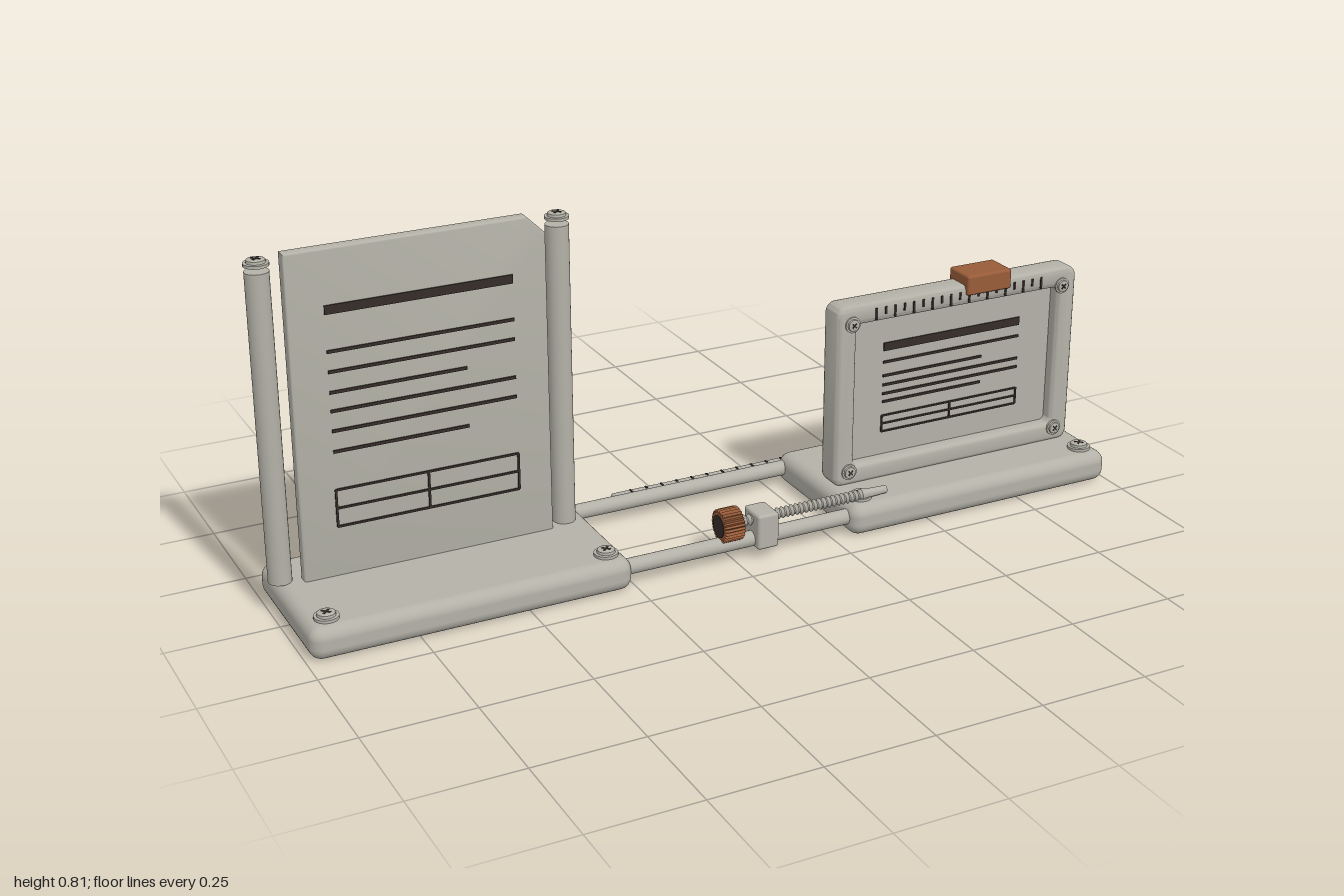
import * as THREE from 'three';
import { RoundedBoxGeometry } from 'three/addons/geometries/RoundedBoxGeometry.js';
import { toCreasedNormals } from 'three/addons/utils/BufferGeometryUtils.js';

const mat = (name, color) => Object.assign(new THREE.MeshStandardMaterial({ color }), { name });

export function createModel() {
  const grey = mat('warm grey', 0xb3b1a7);
  const dark = mat('dark ink', 0x352c29);
  const brown = mat('copper brown', 0x995c39);
  const root = new THREE.Group();
  root.name = 'displayStand';

  const add = (name, geo, material, x = 0, y = 0, z = 0, parent = root) => {
    const m = new THREE.Mesh(geo, material);
    m.name = name;
    m.position.set(x, y, z);
    parent.add(m);
    return m;
  };
  // box given by its limits on each axis; r rounds the edges
  const box = (name, material, x0, x1, y0, y1, z0, z1, r = 0, parent = root) => {
    const s = [x1 - x0, y1 - y0, z1 - z0];
    const g = r ? new RoundedBoxGeometry(...s, 4, r) : new THREE.BoxGeometry(...s);
    return add(name, g, material, (x0 + x1) / 2, (y0 + y1) / 2, (z0 + z1) / 2, parent);
  };
  // extrusion with its bevel kept inside the outline, starting at z0
  const extrude = (shape, z0, depth, bevel) => {
    const g = new THREE.ExtrudeGeometry(shape, {
      depth: depth - 2 * bevel, bevelThickness: bevel, bevelSize: bevel,
      bevelOffset: -bevel, bevelSegments: 3, curveSegments: 8,
    });
    g.translate(0, 0, z0 + bevel);
    return toCreasedNormals(g, 0.6);
  };
  const roundRect = (path, x0, x1, y0, y1, r) => {
    path.moveTo(x0 + r, y0);
    path.lineTo(x1 - r, y0);
    path.absarc(x1 - r, y0 + r, r, -Math.PI / 2, 0);
    path.absarc(x1 - r, y1 - r, r, 0, Math.PI / 2);
    path.absarc(x0 + r, y1 - r, r, Math.PI / 2, Math.PI);
    path.absarc(x0 + r, y0 + r, r, Math.PI, Math.PI * 1.5);
    return path;
  };
  // stepped screw head with a cross recess, axis +y
  const screw = (name, x, y, z, r) => {
    const g = new THREE.Group();
    g.name = name;
    g.position.set(x, y, z);
    root.add(g);
    const profile = [[0, 0], [1, 0], [1, 0.24], [0.76, 0.26], [0.72, 0.48], [0.6, 0.54], [0, 0.54]]
      .map(([a, b]) => new THREE.Vector2(a * r, b * r));
    add('screwHead', toCreasedNormals(new THREE.LatheGeometry(profile, 24), 0.5), grey, 0, 0, 0, g);
    for (let i = 0; i < 2; i++)
      add('screwSlot', new THREE.BoxGeometry(r * 0.8, 0.002, r * 0.18), dark, 0, r * 0.54, 0, g)
        .rotation.y = i * Math.PI / 2 + 0.78;
    return g;
  };
  // heading, text rows and a small table drawn as thin strips
  const printing = (name, x0, x1, xs, z, head, rows, table, t) => {
    const g = new THREE.Group();
    g.name = name;
    root.add(g);
    const bar = (n, a, b, y, h) => box(n, dark, a, b, y - h / 2, y + h / 2, z - 0.002, z + 0.003, 0, g);
    bar('headingBar', x0, x1, head, 0.02);
    rows.forEach(([y, short]) => bar('textLine', x0, short ? xs : x1, y, t));
    const [y0, y1] = table;
    [y0, (y0 + y1) / 2, y1].forEach(y => bar('tableLine', x0, x1, y, t * 0.7));
    [x0, (x0 + x1) / 2, x1].forEach(x => bar('tableDivider', x - t * 0.35, x + t * 0.35, (y0 + y1) / 2, y1 - y0));
  };

  // bases with their screws
  box('leftBase', grey, -0.99, -0.26, 0, 0.075, -0.175, 0.192, 0.028);
  box('rightBase', grey, 0.29, 0.995, 0, 0.075, -0.175, 0.192, 0.028);
  for (const x of [-0.94, -0.305, 0.337, 0.947]) screw('baseScrew', x, 0.075, 0.14, 0.027);

  // tall sheet with a clipped corner
  const sheet = new THREE.Shape([[-0.93, 0.06], [-0.355, 0.06], [-0.355, 0.77], [-0.398, 0.812], [-0.93, 0.812]]
    .map(p => new THREE.Vector2(...p)));
  add('tallPanel', extrude(sheet, -0.06, 0.03, 0.005), grey);
  printing('tallPanelPrint', -0.85, -0.434, -0.545, -0.03, 0.68,
    [[0.588], [0.543], [0.497, 1], [0.455], [0.41], [0.363, 1]], [0.19, 0.275], 0.007);

  // side posts with raised caps
  for (const x of [-0.975, -0.315]) {
    add('post', new THREE.CylinderGeometry(0.026, 0.026, 0.7, 32), grey, x, 0.425, -0.063);
    screw('postCap', x, 0.787, -0.063, 0.027);
  }

  // small framed display
  const frame = roundRect(new THREE.Shape(), 0.31, 0.962, 0.07, 0.515, 0.025);
  frame.holes.push(roundRect(new THREE.Path(), 0.362, 0.91, 0.12, 0.467, 0.012));
  add('displayFrame', extrude(frame, 0.003, 0.066, 0.012), grey);
  box('displayPlate', grey, 0.355, 0.917, 0.113, 0.474, 0.016, 0.04);
  printing('displayPrint', 0.45, 0.823, 0.72, 0.04, 0.39,
    [[0.352], [0.318, 1], [0.295], [0.273], [0.253, 1]], [0.178, 0.218], 0.006);
  for (const x of [0.348, 0.92]) for (const y of [0.107, 0.472])
    screw('frameScrew', x, y, 0.068, 0.019).rotation.x = Math.PI / 2;

  // scale on the frame and its sliding marker
  for (let i = 0; i < 19; i++) {
    const x = 0.41 + i * 0.025, h = i % 2 ? 0.018 : 0.028;
    box('frameTick', dark, x - 0.0025, x + 0.0025, 0.502 - h, 0.502, 0.064, 0.0715);
  }
  box('slidingMarker', brown, 0.65, 0.77, 0.492, 0.54, -0.003, 0.078, 0.006);

  // guide rods between the bases
  for (const z of [-0.146, 0.155]) {
    const rod = add('guideRod', new THREE.CylinderGeometry(0.018, 0.018, 0.62, 24), grey, 0.015, 0.042, z);
    rod.rotation.z = Math.PI / 2;
  }

  // ruler beside the back rod
  box('ruler', grey, -0.137, 0.37, 0.024, 0.045, -0.195, -0.16, 0.003);
  for (let i = 0; i < 11; i++) {
    const x = -0.09 + i * 0.04;
    box('rulerTick', dark, x - 0.002, x + 0.002, 0.042, 0.047, -0.192, i % 2 ? -0.182 : -0.172);
  }

  // clamp block and adjusting screw
  const cy = 0.088, cz = 0.153;
  box('clampBlock', grey, 0.047, 0.1, 0.024, 0.108, 0.117, 0.188, 0.007);
  const thread = [new THREE.Vector2(0, -0.01), new THREE.Vector2(0.009, -0.01)];
  for (let x = 0; x <= 0.33; x += 0.012)
    thread.push(new THREE.Vector2(0.009, x), new THREE.Vector2(0.0135, x + 0.006));
  thread.push(new THREE.Vector2(0.011, 0.345), new THREE.Vector2(0.009, 0.397), new THREE.Vector2(0, 0.397));
  add('threadedRod', toCreasedNormals(new THREE.LatheGeometry(thread, 16), 0.5), grey, 0, cy, cz)
    .rotation.z = -Math.PI / 2;

  // ribbed knob with dark faces
  const knob = new THREE.Shape();
  for (let i = 0; i < 56; i++) {
    const a = i / 56 * Math.PI * 2, r = i % 2 ? 0.034 : 0.039;
    knob[i ? 'lineTo' : 'moveTo'](r * Math.cos(a), r * Math.sin(a));
  }
  knob.closePath();
  add('knob', extrude(knob, -0.025, 0.05, 0.004), brown, -0.01, cy, cz).rotation.y = Math.PI / 2;
  const face = add('knobFace', new THREE.CylinderGeometry(0.026, 0.026, 0.053, 32), dark, -0.01, cy, cz);
  face.rotation.z = Math.PI / 2;
  return root;
}
